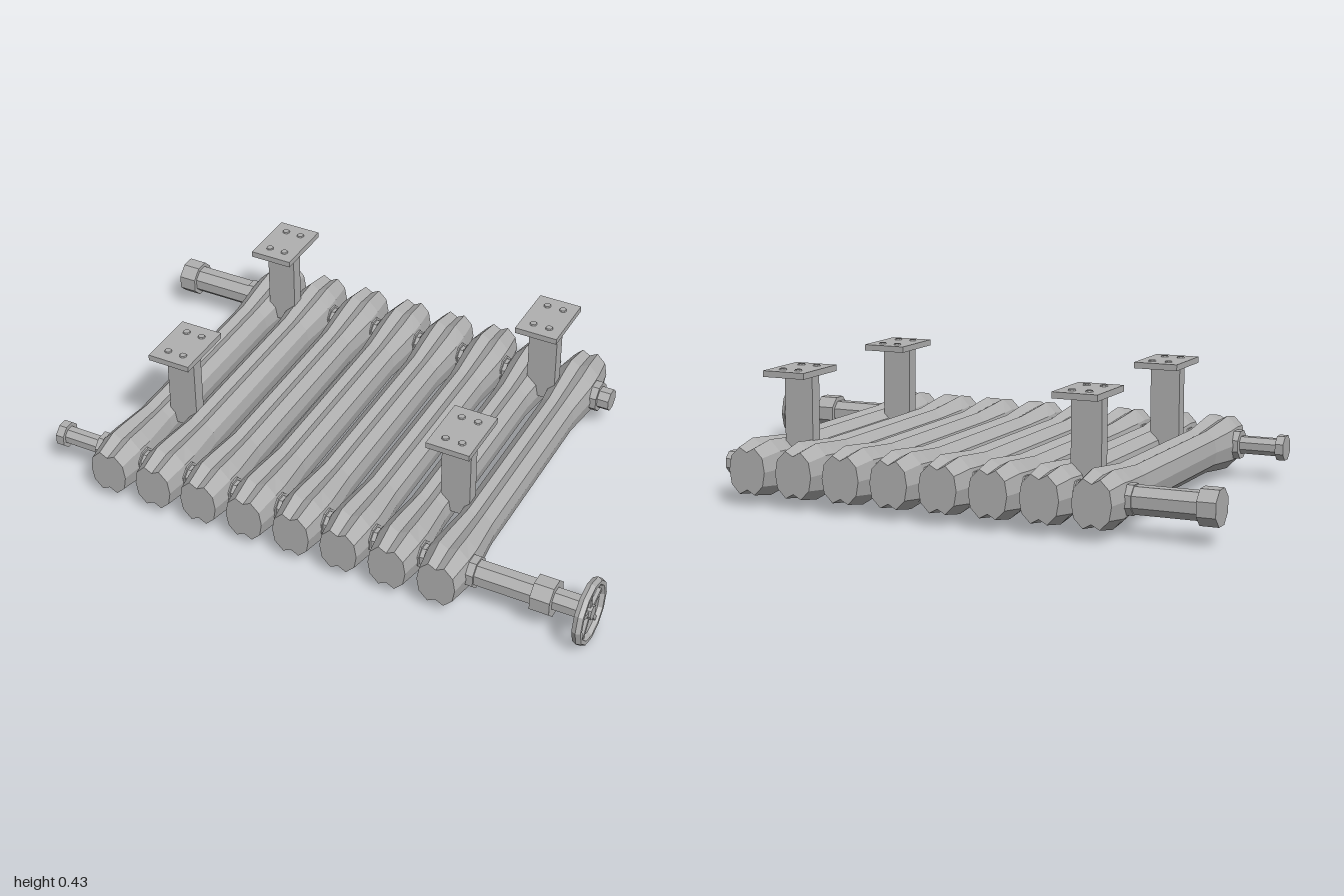
import * as THREE from 'three';

const metal = new THREE.MeshStandardMaterial({ color: 0xb0b0b0, flatShading: true });
metal.name = 'castMetal';

const AXIS_Y = 0.115;

function add(parent, name, geometry, x = 0, y = 0, z = 0) {
  const mesh = new THREE.Mesh(geometry, metal);
  mesh.name = name;
  mesh.position.set(x, y, z);
  parent.add(mesh);
  return mesh;
}

// Cylinder lying along x, from x0 to x1
function rod(parent, name, x0, x1, radius, z, y = AXIS_Y, sides = 8) {
  const geometry = new THREE.CylinderGeometry(radius, radius, Math.abs(x1 - x0), sides);
  geometry.rotateY(Math.PI / sides);
  geometry.rotateZ(Math.PI / 2);
  return add(parent, name, geometry, (x0 + x1) / 2, y, z);
}

// One radiator column: a notched outline lofted along z, with flared ends
function columnGeometry() {
  const half = [[0, 0.8], [0.42, 1], [0.88, 0.6], [1, 0], [0.88, -0.6], [0.42, -1]];
  const outline = [...half, ...half.map(([x, y]) => [-x, -y])];
  // z, half width, half height
  const flare = [[0.61, 0.064, 0.075], [0.52, 0.077, 0.09], [0.46, 0.077, 0.084], [0.32, 0.064, 0.07]];
  const stations = [...flare, ...flare.map(([z, w, h]) => [-z, w, h]).reverse()];
  const n = outline.length;
  const position = [];
  const index = [];
  for (const [z, w, h] of stations) {
    for (const [x, y] of outline) position.push(x * w, y * h, z);
  }
  for (let s = 0; s < stations.length - 1; s++) {
    for (let i = 0; i < n; i++) {
      const a = s * n + i;
      const b = s * n + (i + 1) % n;
      index.push(a, b, a + n, b, b + n, a + n);
    }
  }
  // End caps fanned from their centres
  const front = position.length / 3;
  position.push(0, 0, 0.61, 0, 0, -0.61);
  const last = (stations.length - 1) * n;
  for (let i = 0; i < n; i++) {
    const j = (i + 1) % n;
    index.push(front, j, i, front + 1, last + i, last + j);
  }
  const geometry = new THREE.BufferGeometry();
  geometry.setAttribute('position', new THREE.Float32BufferAttribute(position, 3));
  geometry.setIndex(index);
  const flat = geometry.toNonIndexed();
  flat.computeVertexNormals();
  return flat;
}

function handWheel() {
  const wheel = new THREE.Group();
  wheel.name = 'handWheel';
  const rim = new THREE.TorusGeometry(0.097, 0.013, 6, 12);
  rim.scale(1, 1, 1.3);
  add(wheel, 'wheelRim', rim);
  const hub = new THREE.CylinderGeometry(0.024, 0.024, 0.026, 8);
  hub.rotateX(Math.PI / 2);
  add(wheel, 'wheelHub', hub);
  for (let i = 0; i < 5; i++) {
    const spoke = new THREE.BoxGeometry(0.014, 0.08, 0.012);
    spoke.translate(0, 0.055, 0);
    spoke.rotateZ(i * Math.PI * 2 / 5);
    add(wheel, 'wheelSpoke', spoke);
  }
  wheel.rotation.y = Math.PI / 2;
  return wheel;
}

// Wall bracket: post, mounting plate and four screw heads
function bracket(x, z) {
  const group = new THREE.Group();
  group.name = 'wallBracket';
  add(group, 'bracketPost', new THREE.BoxGeometry(0.1, 0.285, 0.045), 0, 0.2625, 0.012);
  add(group, 'bracketPlate', new THREE.BoxGeometry(0.147, 0.02, 0.21), 0, 0.415, 0);
  for (const sx of [-1, 1]) {
    for (const sz of [-1, 1]) {
      add(group, 'screwHead', new THREE.CylinderGeometry(0.011, 0.013, 0.005, 8), sx * 0.028, 0.427, sz * 0.058);
    }
  }
  group.position.set(x, 0, z);
  return group;
}

export function createModel() {
  const model = new THREE.Group();
  model.name = 'radiator';
  const frontZ = 0.5;
  const backZ = -0.485;
  const firstX = -0.643;
  const pitch = 0.167;

  // Eight columns and the nipples joining them
  const column = columnGeometry();
  for (let i = 0; i < 8; i++) {
    const x = firstX + i * pitch;
    add(model, 'column', column, x, AXIS_Y, 0);
    if (i === 7) continue;
    const mid = x + pitch / 2;
    for (const z of [frontZ, backZ]) {
      rod(model, 'nipple', mid - 0.04, mid + 0.04, 0.036, z);
      for (const side of [-1, 1]) {
        rod(model, 'nippleCollar', mid + side * 0.008, mid + side * 0.03, 0.045, z);
      }
    }
  }

  // Collars on the outer faces
  for (const z of [frontZ, backZ]) {
    rod(model, 'endCollar', -0.735, -0.69, 0.05, z);
    rod(model, 'endCollar', 0.57, 0.62, 0.052, z);
  }

  // Back outlet pipe and plug
  rod(model, 'outletPipe', -0.96, -0.7, 0.046, backZ);
  rod(model, 'outletNut', -1, -0.94, 0.06, backZ);
  rod(model, 'plug', 0.6, 0.66, 0.038, backZ);

  // Front bleed stub
  rod(model, 'bleedStub', -0.87, -0.7, 0.031, frontZ);
  rod(model, 'bleedNut', -0.89, -0.862, 0.044, frontZ);

  // Front inlet valve with its hand wheel
  rod(model, 'valvePipe', 0.6, 0.82, 0.044, frontZ);
  rod(model, 'valveNut', 0.81, 0.875, 0.06, frontZ);
  rod(model, 'valveNeck', 0.87, 0.955, 0.038, frontZ);
  rod(model, 'valveStem', 0.95, 0.985, 0.018, frontZ);
  const wheel = handWheel();
  wheel.position.set(0.983, 0.112, 0.503);
  model.add(wheel);

  // Four wall brackets
  for (const x of [-0.553, 0.437]) {
    for (const z of [0.25, -0.423]) model.add(bracket(x, z));
  }
  return model;
}
